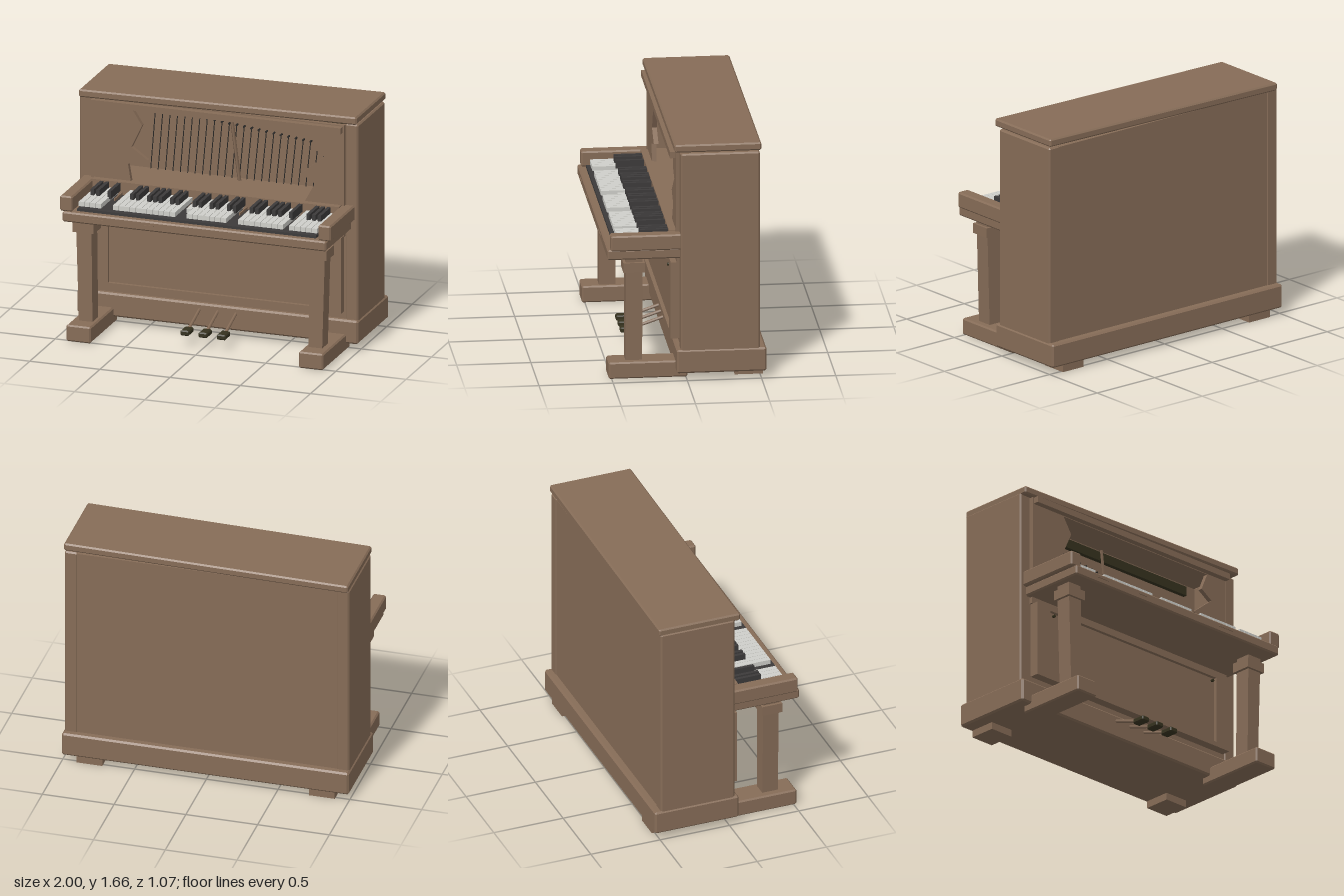
import * as THREE from 'three';
import { ConvexGeometry } from 'three/addons/geometries/ConvexGeometry.js';

const mat = (name, color, extra = {}) => Object.assign(new THREE.MeshStandardMaterial({ color, ...extra }), { name });

export function createModel() {
  const piano = new THREE.Group();
  piano.name = 'uprightPiano';
  const wood = mat('wood', 0x866c57);
  const ivory = mat('ivory', 0xcfcfca);
  const ebony = mat('ebony', 0x3c3a3a);
  const iron = mat('darkIron', 0x36321f);
  const wire = mat('wire', 0x2b2a28);

  const add = (name, geometry, material, parent = piano) => {
    const mesh = new THREE.Mesh(geometry, material);
    mesh.name = name;
    parent.add(mesh);
    return mesh;
  };

  // Box given by its limits
  const box = (name, x0, x1, y0, y1, z0, z1, material = wood, parent = piano) => {
    const m = add(name, new THREE.BoxGeometry(x1 - x0, y1 - y0, z1 - z0), material, parent);
    m.position.set((x0 + x1) / 2, (y0 + y1) / 2, (z0 + z1) / 2);
    return m;
  };

  // Box with all edges chamfered by c
  const chamferBox = (name, x0, x1, y0, y1, z0, z1, c = 0.01, material = wood) => {
    const h = [(x1 - x0) / 2, (y1 - y0) / 2, (z1 - z0) / 2];
    const points = [];
    for (const sx of [-1, 1]) for (const sy of [-1, 1]) for (const sz of [-1, 1])
      for (let full = 0; full < 3; full++) {
        const p = [sx, sy, sz].map((s, i) => s * (h[i] - (i === full ? 0 : c)));
        points.push(new THREE.Vector3(...p));
      }
    const m = add(name, new ConvexGeometry(points), material);
    m.position.set((x0 + x1) / 2, (y0 + y1) / 2, (z0 + z1) / 2);
    return m;
  };

  // Straight bar between two points
  const rod = (name, a, b, r, material, sides = 6, parent = piano) => {
    const from = new THREE.Vector3(...a), to = new THREE.Vector3(...b);
    const dir = to.clone().sub(from);
    const m = add(name, new THREE.CylinderGeometry(r, r, dir.length(), sides), material, parent);
    m.position.copy(from).add(to).multiplyScalar(0.5);
    m.quaternion.setFromUnitVectors(new THREE.Vector3(0, 1, 0), dir.normalize());
    return m;
  };

  const outline = (pts) => pts.map(([x, y]) => new THREE.Vector2(x, y));
  const rect = (w, y0, y1) => outline([[-w, y0], [w, y0], [w, y1], [-w, y1]]);
  const holedPanel = (name, outer, hole, z0, z1) => {
    const shape = new THREE.Shape(outer);
    shape.holes.push(new THREE.Path(hole));
    const g = new THREE.ExtrudeGeometry(shape, { depth: z1 - z0, bevelEnabled: false });
    add(name, g, wood).position.z = z0;
  };

  // Case
  chamferBox('plinth', -1, 1, 0.05, 0.215, -0.535, 0.07, 0.012);
  box('lowerCase', -0.91, 0.91, 0.2, 1.02, -0.485, 0.035);
  box('caseBack', -0.91, 0.91, 1.02, 1.585, -0.485, -0.25);
  for (const s of [-1, 1]) {
    const [a, b] = s > 0 ? [0.9, 0.992] : [-0.992, -0.9];
    chamferBox('caseSide', a, b, 0.18, 1.593, -0.49, 0.042, 0.01);
  }
  const lid = chamferBox('lid', -0.985, 0.995, 1.592, 1.646, -0.5, 0.085, 0.01);
  lid.rotation.z = 0.0125;

  // Upper panel with a splintered opening
  holedPanel('brokenUpperPanel', rect(0.9, 0.95, 1.585), outline([
    [-0.61, 1.53], [-0.54, 1.42], [-0.615, 1.26], [-0.5, 1.18], [-0.64, 1.14], [-0.62, 1.02],
    [0.62, 1.02], [0.69, 1.15], [0.6, 1.22], [0.76, 1.35], [0.67, 1.41], [0.72, 1.53],
  ]), 0.03, 0.062);
  box('upperMoulding', -0.89, 0.89, 1.535, 1.578, 0.06, 0.105);
  for (const s of [-1, 1]) box('panelEdge', s * 0.895 - 0.006, s * 0.895 + 0.006, 1.02, 1.58, 0.04, 0.067);

  // Strings and pin rail inside the opening
  box('pinRail', -0.8, 0.8, 1.495, 1.56, -0.25, -0.22, iron);
  const strings = new THREE.Group();
  strings.name = 'strings';
  piano.add(strings);
  for (let i = 0; i < 24; i++) {
    const t = i / 23, x = -0.55 + t * 1.21, y = 1.46 - t * 0.13;
    rod('string', [x - 0.035, 1.02, -0.235], [x, y, -0.235], 0.0035, wire, 5, strings);
    rod('tuningPin', [x, y, -0.25], [x, y, -0.222], 0.007, wire, 6, strings);
  }
  rod('innerBrace', [0.06, 1.02, -0.2], [-0.01, 1.56, -0.2], 0.013, wood, 4);

  // Lower framed panel
  box('lowerPanel', -0.89, 0.89, 0.265, 0.8, 0.03, 0.075);
  holedPanel('lowerPanelFrame', rect(0.89, 0.265, 0.8), rect(0.77, 0.297, 0.77), 0.074, 0.1);
  box('underKeyRail', -0.9, 0.9, 0.8, 0.86, 0.03, 0.06);
  for (const s of [-1, 1]) rod('panelCatch', [s * 0.735, 0.74, 0.09], [s * 0.735, 0.74, 0.107], 0.01, iron, 8);

  // Keyboard shelf
  chamferBox('keyBed', -0.94, 0.94, 0.845, 0.915, 0.03, 0.53, 0.01);
  for (const [a, b] of [[-0.74, -0.64], [-0.36, -0.29], [0.38, 0.51]])
    box('splinter', a, b, 0.882, 0.888, 0.525, 0.535);
  for (const s of [-1, 1])
    chamferBox('keyCheek', s * 0.92 - 0.045, s * 0.92 + 0.045, 0.912, 1.02, 0.03, 0.51, 0.01);
  box('keyBackRail', -0.88, 0.88, 0.91, 1.022, 0.05, 0.11);
  box('keyTray', -0.85, 0.85, 0.91, 0.933, 0.1, 0.48, ebony);

  // Keys: six octaves, some lost or broken
  const keys = new THREE.Group();
  keys.name = 'keys';
  piano.add(keys);
  const pitch = 1.7 / 42, lostWhite = [4, 5, 17, 26, 27, 36], lostBlack = [5, 6, 18, 27, 37];
  for (let i = 0; i < 42; i++) {
    const x = -0.85 + i * pitch;
    if (lostWhite.includes(i)) {
      const c = x + pitch / 2;
      box('bareKeyStick', c - 0.005, c + 0.005, 0.93, 0.95, 0.11, 0.25, wood, keys);
    } else {
      box('whiteKey', x + 0.0015, x + pitch - 0.0015, 0.942, 0.974, 0.11, i === 18 ? 0.35 : 0.455, ivory, keys);
    }
    if ([1, 2, 4, 5, 6].includes(i % 7) && !lostBlack.includes(i))
      box('blackKey', x - 0.012, x + 0.012, 0.96, 1.015, 0.11, 0.3, ebony, keys);
  }

  // Legs, feet and rear blocks
  for (const s of [-1, 1]) {
    const span = (c, w) => [s * c - w / 2, s * c + w / 2];
    chamferBox('foot', ...span(0.828, 0.175), 0, 0.115, -0.01, 0.52, 0.01);
    const leg = box('leg', ...span(0.825, 0.105), 0.1, 0.85, 0.29, 0.402);
    const p = leg.geometry.attributes.position;
    for (let i = 0; i < p.count; i++) p.setX(i, p.getX(i) * (p.getY(i) > 0 ? 1.05 : 0.92) + s * (p.getY(i) > 0 ? 0.008 : -0.007));
    leg.geometry.computeVertexNormals();
    box('legCollar', ...span(0.83, 0.15), 0.742, 0.81, 0.275, 0.42);
    box('rearBlock', ...span(0.81, 0.18), 0, 0.06, -0.52, -0.33);
  }

  // Pedals
  for (const x of [-0.13, 0, 0.13]) {
    rod('pedalRod', [x, 0.18, 0.04], [x, 0.095, 0.29], 0.011, wood, 6);
    chamferBox('pedalPad', x - 0.032, x + 0.032, 0.075, 0.112, 0.26, 0.36, 0.008, iron);
  }
  return piano;
}
